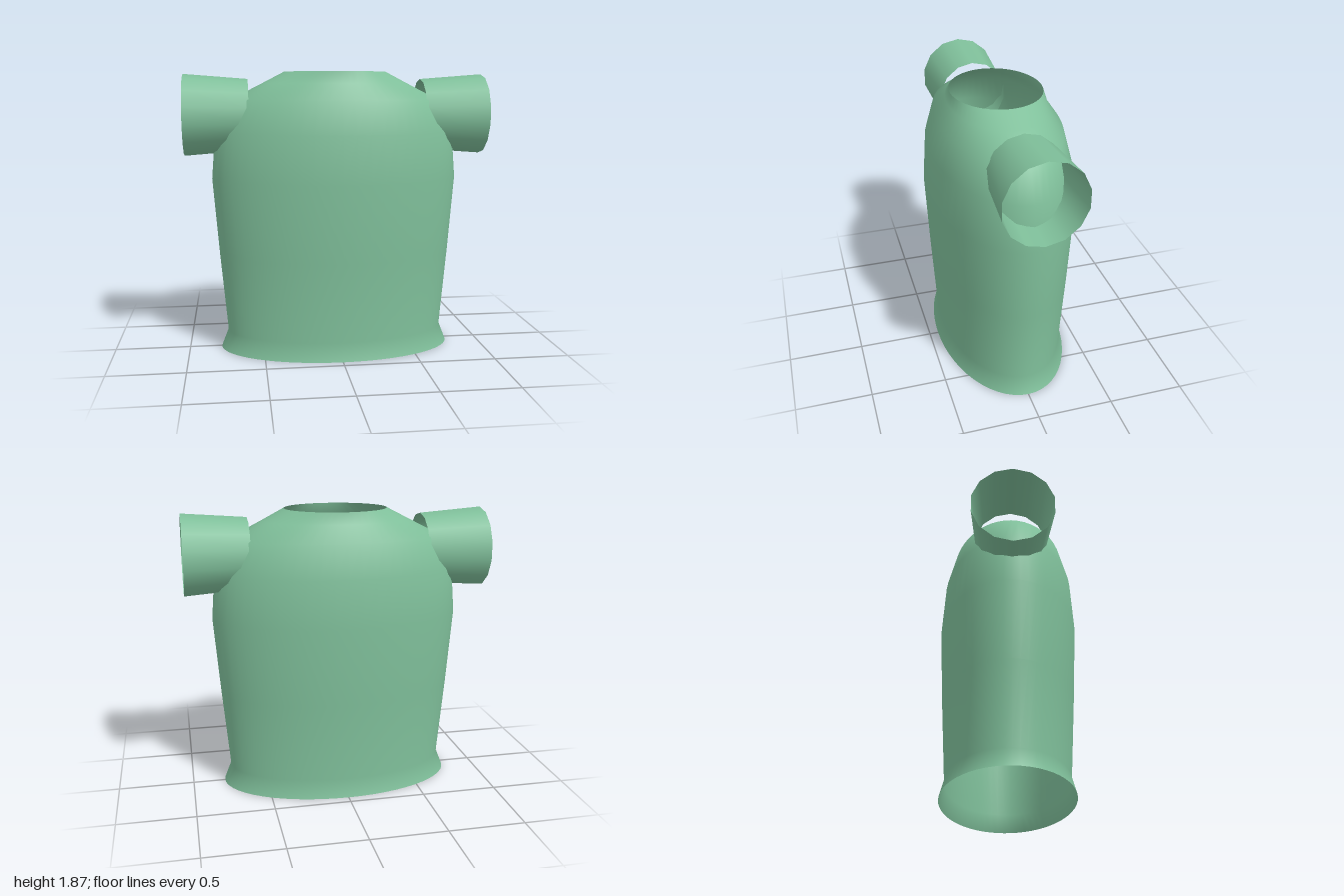
import * as THREE from 'three';

// Closed loops of ellipses [y, rx, rz] joined into one smooth open shell
function ellipseShell(rings, segments) {
  const positions = [], index = [];
  for (const [y, rx, rz] of rings) {
    for (let i = 0; i < segments; i++) {
      const a = (i / segments) * Math.PI * 2;
      positions.push(rx * Math.sin(a), y, rz * Math.cos(a));
    }
  }
  for (let r = 0; r < rings.length - 1; r++) {
    for (let i = 0; i < segments; i++) {
      const j = (i + 1) % segments;
      const a = r * segments + i, b = r * segments + j;
      const c = a + segments, d = b + segments;
      index.push(a, b, d, a, d, c);
    }
  }
  const geometry = new THREE.BufferGeometry();
  geometry.setAttribute('position', new THREE.Float32BufferAttribute(positions, 3));
  geometry.setIndex(index);
  geometry.computeVertexNormals();
  return geometry;
}

export function createModel() {
  const group = new THREE.Group();
  group.name = 'shirt';
  const fabric = new THREE.MeshStandardMaterial({ color: 0x7fbf9a, side: THREE.DoubleSide });
  fabric.name = 'green fabric';

  // Body: flared hem, widening chest, rounded shoulders, open neck
  const body = new THREE.Mesh(ellipseShell([
    [0, 0.785, 0.44],
    [0.12, 0.738, 0.407],
    [0.65, 0.785, 0.437],
    [1.16, 0.825, 0.46],
    [1.47, 0.80, 0.438],
    [1.68, 0.70, 0.385],
    [1.79, 0.485, 0.31],
    [1.866, 0.338, 0.293],
  ], 56), fabric);
  body.name = 'body';
  group.add(body);

  // Sleeves: open tubes flaring outward, pushed into the shoulders
  for (const side of [1, -1]) {
    const geometry = new THREE.CylinderGeometry(0.267, 0.235, 0.42, 14, 1, true, Math.PI / 2);
    geometry.rotateZ(-Math.PI / 2);
    geometry.scale(1, 1, 0.98);
    if (side < 0) geometry.rotateY(Math.PI);
    const sleeve = new THREE.Mesh(geometry, fabric);
    sleeve.name = side > 0 ? 'leftSleeve' : 'rightSleeve';
    sleeve.position.set(side * 0.79, 1.583, 0);
    group.add(sleeve);
  }
  return group;
}
